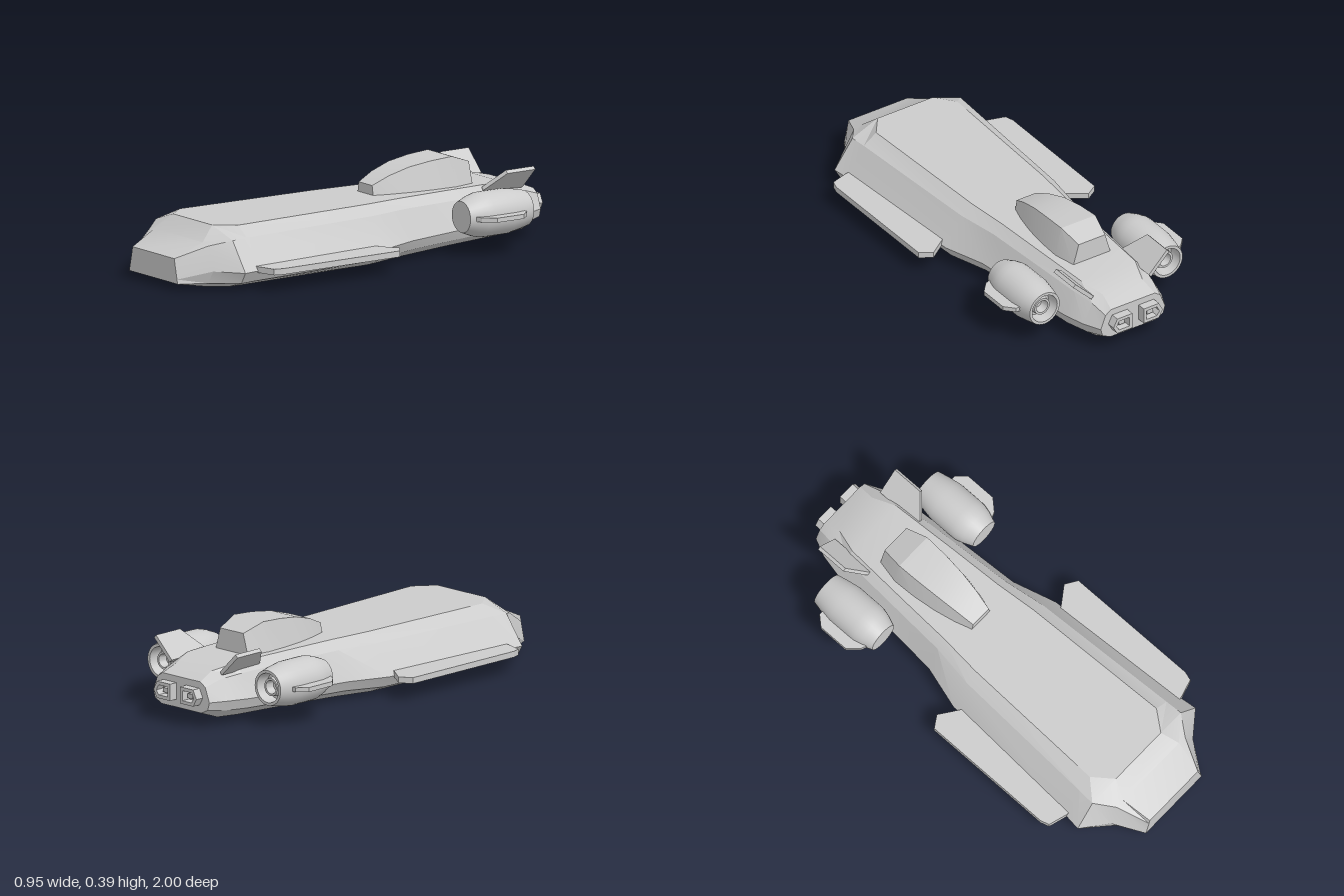
import * as THREE from 'three';
import { toCreasedNormals } from 'three/addons/utils/BufferGeometryUtils.js';

const material = new THREE.MeshStandardMaterial({ color: 0xcccccc, side: THREE.DoubleSide });

function add(parent, name, geometry) {
  const mesh = new THREE.Mesh(geometry, material);
  mesh.name = name;
  parent.add(mesh);
  return mesh;
}

// Skin mirrored half-sections, listed front to back; points run from the bottom up
function loft(sections, crease) {
  const rings = sections.map(s => [...s, ...s.map(([x, y, z]) => [-x, y, z]).reverse()]);
  const n = rings[0].length;
  const index = [];
  for (let i = 0; i < rings.length - 1; i++) {
    for (let j = 0; j < n; j++) {
      const a = i * n + j, b = i * n + (j + 1) % n;
      index.push(a, a + n, b, a + n, b + n, b);
    }
  }
  const last = (rings.length - 1) * n;
  for (let j = 1; j < n - 1; j++) {
    index.push(0, j, j + 1, last, last + j + 1, last + j);
  }
  const g = new THREE.BufferGeometry();
  g.setAttribute('position', new THREE.Float32BufferAttribute(rings.flat(2), 3));
  g.setIndex(index);
  return toCreasedNormals(g, crease);
}

const shapeOf = pts => new THREE.Shape(pts.map(p => new THREE.Vector2(...p)));

// Flat plate outlined in (x, z), centred on y = 0
function plate(outline, thickness) {
  const g = new THREE.ExtrudeGeometry(shapeOf(outline.map(([x, z]) => [x, -z])), { depth: thickness, bevelEnabled: false });
  return g.translate(0, 0, -thickness / 2).rotateX(-Math.PI / 2);
}

// Ordinary hull section from one z and five (x, y) points
const at = (z, pts) => pts.map(([x, y]) => [x, y, z]);

function createHull() {
  return loft([
    at(1, [[0.15, 0.03], [0.18, 0.03], [0.175, 0.05], [0.16, 0.115], [0.155, 0.14]]),
    [[0.2, 0.006, 0.86], [0.24, 0.03, 0.88], [0.265, 0.085, 0.87], [0.22, 0.19, 0.865], [0.18, 0.2, 0.865]],
    [[0.25, 0.004, 0.78], [0.35, 0.035, 0.78], [0.38, 0.085, 0.78], [0.285, 0.215, 0.78], [0.145, 0.262, 0.79]],
    at(0.7, [[0.25, 0.003], [0.34, 0.035], [0.37, 0.085], [0.28, 0.217], [0.215, 0.262]]),
    at(0, [[0.22, 0], [0.3, 0.035], [0.33, 0.085], [0.245, 0.22], [0.19, 0.262]]),
    at(-0.2, [[0.19, 0.008], [0.25, 0.045], [0.272, 0.09], [0.215, 0.222], [0.172, 0.262]]),
    at(-0.45, [[0.17, 0.018], [0.235, 0.055], [0.255, 0.1], [0.2, 0.222], [0.16, 0.262]]),
    at(-0.77, [[0.155, 0.03], [0.215, 0.07], [0.23, 0.115], [0.18, 0.22], [0.142, 0.26]]),
    at(-0.88, [[0.14, 0.036], [0.19, 0.075], [0.207, 0.12], [0.16, 0.21], [0.105, 0.237]]),
    at(-0.96, [[0.12, 0.065], [0.16, 0.085], [0.17, 0.12], [0.145, 0.185], [0.115, 0.205]]),
  ], 0.3);
}

function createCanopy() {
  // [z, base half width, top half width, top height]
  const rows = [
    [-0.14, 0.06, 0.05, 0.305],
    [-0.22, 0.085, 0.064, 0.341],
    [-0.32, 0.106, 0.077, 0.37],
    [-0.43, 0.119, 0.086, 0.385],
    [-0.54, 0.123, 0.09, 0.392],
    [-0.645, 0.1, 0.07, 0.355],
  ];
  return loft(rows.map(([z, w, t, h]) => [[w, 0.25, z], [t, h, z]]), 0.3);
}

function createEngine() {
  const engine = new THREE.Group();
  engine.name = 'engine';
  // Pod with a recessed exhaust; profile is [radius, forward distance]
  const profile = [
    [0, 0.165], [0.07, 0.165], [0.09, 0.115], [0.099, 0.08], [0.1, 0.05],
    [0.1, -0.06], [0.09, -0.12], [0.079, -0.17], [0.066, -0.17], [0.06, -0.11], [0, -0.11],
  ].reverse().map(p => new THREE.Vector2(...p));
  add(engine, 'enginePod', toCreasedNormals(new THREE.LatheGeometry(profile, 32).rotateX(Math.PI / 2), 0.4));
  // Inner nozzle ring
  const ring = [[0.045, -0.11], [0.04, -0.15], [0.03, -0.15], [0.024, -0.11]].map(p => new THREE.Vector2(...p));
  add(engine, 'engineNozzle', toCreasedNormals(new THREE.LatheGeometry(ring, 24).rotateX(Math.PI / 2), 0.4));
  add(engine, 'engineWinglet', plate([[0.08, 0.14], [0.105, 0.13], [0.15, 0.08], [0.15, -0.065], [0.11, -0.11], [0.08, -0.11]], 0.02));
  engine.position.set(0.325, 0.177, -0.585);
  return engine;
}

function createExhaust() {
  // Hollow wedge-shaped frame with a core set inside
  const shape = shapeOf([[0.03, 0.1], [0.11, 0.1], [0.13, 0.135], [0.11, 0.175], [0.03, 0.175]]);
  shape.holes.push(new THREE.Path([[0.045, 0.115], [0.045, 0.16], [0.1, 0.16], [0.113, 0.135], [0.1, 0.115]].map(p => new THREE.Vector2(...p))));
  return new THREE.ExtrudeGeometry(shape, { depth: 0.06, bevelEnabled: false }).translate(0, 0, -1);
}

// Everything that appears on both sides, built on the left
function createSideParts() {
  const side = new THREE.Group();
  const wing = [[0.27, 0.06], [0.325, 0.035], [0.41, -0.025], [0.465, 0.01], [0.467, 0.64], [0.455, 0.68], [0.37, 0.705], [0.3, 0.71]];
  add(side, 'sideWing', plate(wing, 0.027)).position.y = 0.091;
  side.add(createEngine());
  const fin = add(side, 'tailFin', plate([[0, -0.65], [0.025, -0.65], [0.135, -0.72], [0.135, -0.87], [0, -0.87]], 0.018));
  fin.position.set(0.152, 0.232, 0);
  fin.rotation.z = Math.PI / 4;
  add(side, 'exhaustFrame', createExhaust());
  add(side, 'exhaustCore', new THREE.BoxGeometry(0.03, 0.02, 0.035)).position.set(0.075, 0.137, -0.965);
  return side;
}

export function createModel() {
  const model = new THREE.Group();
  model.name = 'hoverCraft';
  add(model, 'hull', createHull());
  add(model, 'canopy', createCanopy());
  for (const s of [1, -1]) {
    const side = createSideParts();
    side.name = s > 0 ? 'leftSide' : 'rightSide';
    side.scale.x = s;
    model.add(side);
  }
  return model;
}
